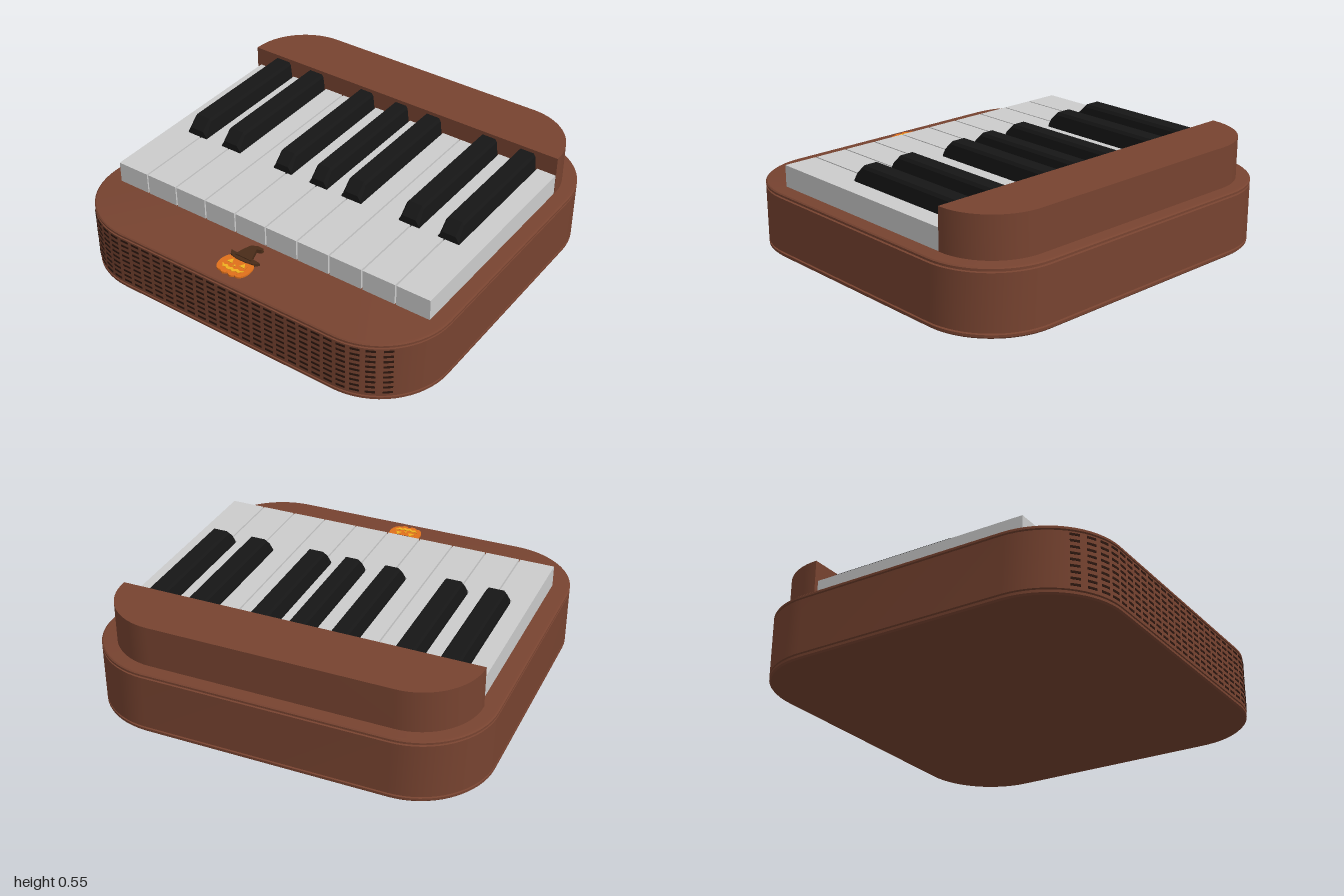
import * as THREE from 'three';
import { mergeGeometries, toCreasedNormals } from 'three/addons/utils/BufferGeometryUtils.js';

const mat = (color) => new THREE.MeshStandardMaterial({ color });
const BROWN = mat(0x774330), DARK = mat(0x2c170f), BLACK = mat(0x161616), WHITE = mat(0xcccccc);
const ORANGE = mat(0xe0701a), YELLOW = mat(0xf0b020), HAT = mat(0x4a2c18);

const HX = 1, HZ = 0.935, R = 0.38;

function add(parent, name, geometry, material) {
  const mesh = new THREE.Mesh(geometry, material);
  mesh.name = name;
  parent.add(mesh);
  return mesh;
}

// Upright slab from a plan shape whose y axis is -z
function slab(shape, y0, y1, curveSegments = 16) {
  const g = new THREE.ExtrudeGeometry(shape, { depth: y1 - y0, bevelEnabled: false, curveSegments });
  return g.rotateX(-Math.PI / 2).translate(0, y0, 0);
}
const plan = (points) => new THREE.Shape(points.map(([x, z]) => new THREE.Vector2(x, -z)));

// Rounded-rectangle skin lofted through [inset, y] levels
function bodyGeometry(levels, seg = 16) {
  const pos = [], idx = [], n = 4 * (seg + 1);
  for (const [inset, y] of levels) {
    for (let c = 0; c < 4; c++) for (let i = 0; i <= seg; i++) {
      const a = (c + i / seg) * Math.PI / 2;
      const sx = c === 0 || c === 3 ? 1 : -1, sz = c < 2 ? 1 : -1;
      pos.push(sx * (HX - R) + (R - inset) * Math.cos(a), y, sz * (HZ - R) + (R - inset) * Math.sin(a));
    }
  }
  const last = (levels.length - 1) * n, bottom = levels.length * n;
  pos.push(0, levels[0][1], 0, 0, levels[levels.length - 1][1], 0);
  for (let i = 0; i < n; i++) {
    const j = (i + 1) % n;
    for (let k = 0; k < last; k += n) idx.push(k + i, k + n + i, k + j, k + j, k + n + i, k + n + j);
    idx.push(bottom, i, j, bottom + 1, last + j, last + i);
  }
  const g = new THREE.BufferGeometry();
  g.setAttribute('position', new THREE.Float32BufferAttribute(pos, 3));
  g.setIndex(idx);
  return toCreasedNormals(g, 0.5);
}

// Speaker slots following the rounded front
function grilleGeometry() {
  const parts = [];
  for (let row = 0; row < 9; row++) for (let i = -13; i <= 13; i++) {
    const x = i * 0.0665, over = Math.max(0, Math.abs(x) - (HX - R));
    const angle = Math.sign(x) * Math.asin(over / R);
    const z = HZ - R + Math.sqrt(R * R - over * over);
    const slot = new THREE.BoxGeometry(0.046, 0.011, 0.004);
    parts.push(slot.rotateY(angle).translate(x, 0.055 + row * 0.0305, z));
  }
  return mergeGeometries(parts);
}

// Black key: chamfered profile run along z, with a sloping nose
function blackKeyGeometry(width) {
  const w = width / 2, back = -0.54, front = 0.195;
  const right = [[w, 0.35], [w, 0.455], [w - 0.008, 0.52], [w - 0.018, 0.535]];
  const left = right.map(([x, y]) => [-x, y]).reverse();
  const shape = new THREE.Shape([...right, ...left].map(([x, y]) => new THREE.Vector2(x, y)));
  const g = new THREE.ExtrudeGeometry(shape, { depth: front - back, steps: 2, bevelEnabled: false });
  g.translate(0, 0, back);
  const p = g.attributes.position;
  for (let i = 0; i < p.count; i++) {
    const z = p.getZ(i);
    if (z > front - 0.01) {
      if (p.getY(i) > 0.5) p.setY(i, p.getY(i) - 0.052);
    } else if (z > back + 0.01) p.setZ(i, 0.14);
  }
  g.computeVertexNormals();
  return g;
}

export function createModel() {
  const model = new THREE.Group();
  model.name = 'toyPiano';

  // Case with a narrow groove near its top and bottom
  add(model, 'case', bodyGeometry([
    [0.025, 0], [0.008, 0.004], [0, 0.012], [0, 0.024], [0.012, 0.026], [0.012, 0.031], [0, 0.033],
    [0, 0.313], [0.012, 0.315], [0.012, 0.32], [0, 0.322], [0, 0.332], [0.006, 0.337], [0.02, 0.339],
  ]), BROWN);
  add(model, 'speakerGrille', grilleGeometry(), DARK);

  // Raised block behind the keys
  const block = new THREE.Shape();
  block.moveTo(-0.928, 0.545);
  block.lineTo(0.924, 0.545);
  block.absarc(0.614, 0.555, 0.31, 0, Math.PI / 2);
  block.absarc(-0.618, 0.555, 0.31, Math.PI / 2, Math.PI);
  block.closePath();
  add(model, 'backBlock', toCreasedNormals(slab(block, 0.335, 0.55), 0.5), BROWN);

  // Black keys as [left, right] edges
  const blacks = [[-0.805, -0.69], [-0.585, -0.472], [-0.255, -0.15], [-0.036, 0.064],
    [0.155, 0.265], [0.485, 0.595], [0.703, 0.813]];
  const blackKeys = new THREE.Group();
  blackKeys.name = 'blackKeys';
  for (const [a, b] of blacks) {
    add(blackKeys, 'blackKey', blackKeyGeometry(b - a), BLACK).position.x = (a + b) / 2;
  }
  model.add(blackKeys);

  // White keys, notched where a black key sits across their edge
  const whiteKeys = new THREE.Group();
  whiteKeys.name = 'whiteKeys';
  const count = 10, x0 = -0.906, pitch = 0.1828, gap = 0.004, notch = 0.2;
  for (let i = 0; i < count; i++) {
    const l = x0 + i * pitch, r = l + pitch;
    const overL = blacks.find(([a, b]) => a < l && b > l);
    const overR = blacks.find(([a, b]) => a < r && b > r);
    const fl = l + (i ? gap : 0), fr = r - (i < count - 1 ? gap : 0);
    const bl = overL ? overL[1] + 0.006 : fl, br = overR ? overR[0] - 0.006 : fr;
    const pts = [[fl, 0.608], [fr, 0.608]];
    if (overR) pts.push([fr, notch], [br, notch]);
    pts.push([br, -0.545], [bl, -0.545]);
    if (overL) pts.push([bl, notch], [fl, notch]);
    add(whiteKeys, 'whiteKey', slab(plan(pts), 0.336, 0.45), WHITE);
  }
  model.add(whiteKeys);

  // Pumpkin ornament with a pointed hat
  const badge = new THREE.Group();
  badge.name = 'pumpkinOrnament';
  badge.position.set(-0.013, 0, 0.81);
  for (const [x, w, d] of [[-0.05, 0.037, 0.062], [0.05, 0.037, 0.062], [-0.022, 0.036, 0.071], [0.022, 0.036, 0.071]]) {
    const lobe = new THREE.Shape().absellipse(x, -0.004, w, d, 0, Math.PI * 2);
    add(badge, 'pumpkinLobe', slab(lobe, 0.336, Math.abs(x) > 0.03 ? 0.348 : 0.35, 12), ORANGE);
  }
  for (const s of [-1, 1]) {
    const eye = [[s * 0.02, 0.001], [s * 0.052, 0.001], [s * 0.034, -0.028]];
    add(badge, 'pumpkinEye', slab(plan(s > 0 ? eye : eye.reverse()), 0.336, 0.353), YELLOW);
  }
  add(badge, 'pumpkinNose', slab(plan([[-0.008, 0.014], [0.008, 0.014], [0, 0.002]]), 0.336, 0.353), YELLOW);
  add(badge, 'pumpkinMouth', slab(plan([
    [-0.062, 0.018], [-0.045, 0.028], [-0.03, 0.022], [-0.015, 0.032], [0, 0.026], [0.015, 0.032], [0.03, 0.022],
    [0.045, 0.028], [0.062, 0.018], [0.045, 0.044], [0.03, 0.038], [0.015, 0.05], [0, 0.042], [-0.015, 0.05],
    [-0.03, 0.038], [-0.045, 0.044],
  ]), 0.336, 0.353), YELLOW);
  add(badge, 'hatBrim', slab(plan([
    [-0.085, -0.075], [-0.05, -0.072], [0.05, -0.072], [0.088, -0.068], [0.07, -0.045], [0.03, -0.036],
    [-0.03, -0.036], [-0.068, -0.048],
  ]), 0.336, 0.355), HAT);
  add(badge, 'hatCrown', slab(plan([
    [-0.045, -0.055], [-0.038, -0.1], [-0.022, -0.145], [0.01, -0.16], [0.042, -0.158], [0.04, -0.145],
    [0.018, -0.135], [0.03, -0.1], [0.048, -0.055],
  ]), 0.336, 0.36), HAT);
  model.add(badge);

  return model;
}
